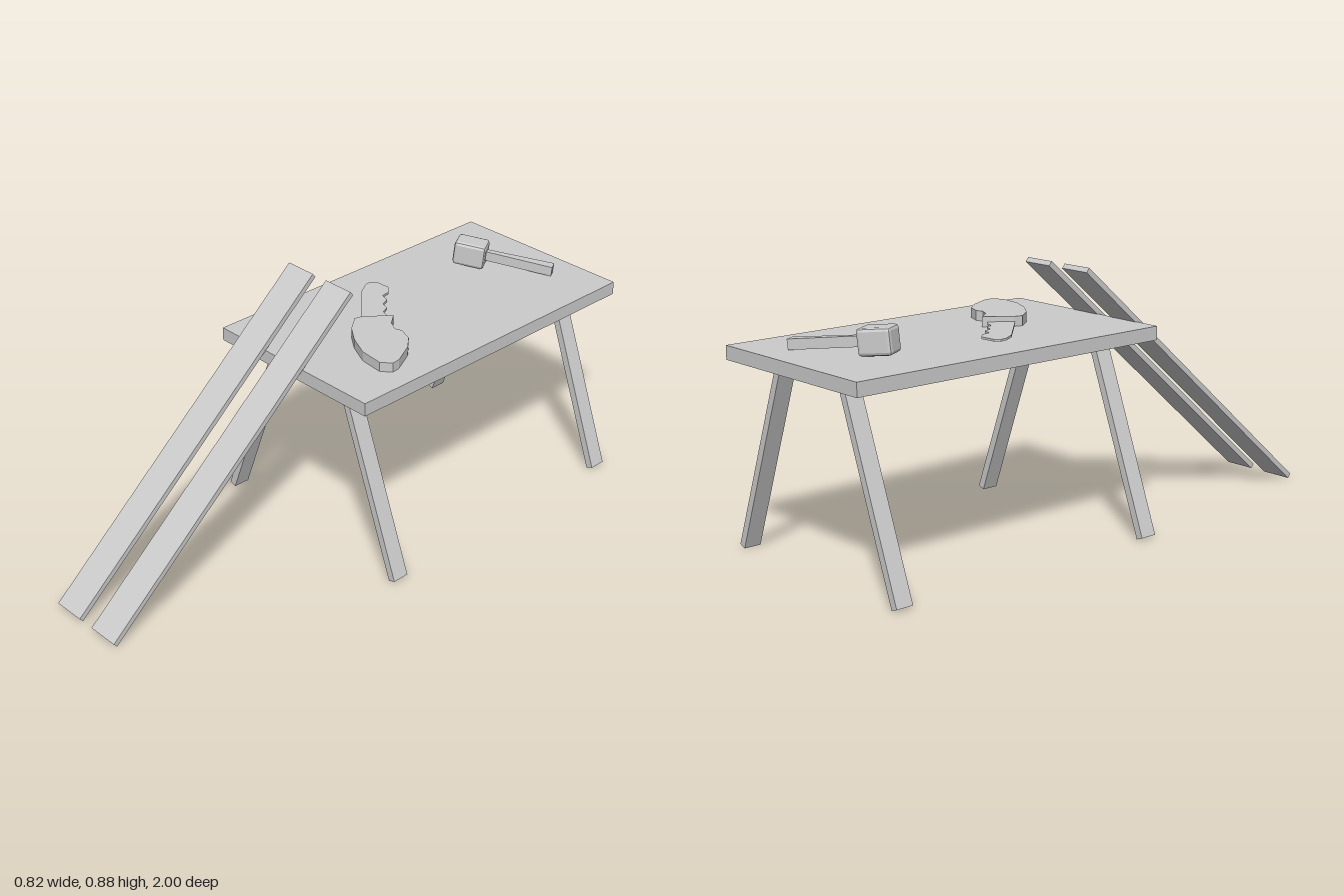
import * as THREE from 'three';
import { RoundedBoxGeometry } from 'three/addons/geometries/RoundedBoxGeometry.js';

const material = new THREE.MeshStandardMaterial({ color: 0xcccccc, flatShading: true });

function part(name, geometry, parent) {
  const mesh = new THREE.Mesh(geometry, material);
  mesh.name = name;
  parent.add(mesh);
  return mesh;
}

// Flat slab lying on the table, outlined by [x, z] points
function slab(points, height) {
  const shape = new THREE.Shape(points.map(([x, z]) => new THREE.Vector2(x, -z)));
  return new THREE.ExtrudeGeometry(shape, { depth: height, bevelEnabled: false }).rotateX(-Math.PI / 2);
}

export function createModel() {
  const model = new THREE.Group();
  model.name = 'workbench';

  // Table top
  part('tableTop', new THREE.BoxGeometry(0.676, 0.046, 1.2), model).position.set(0, 0.66, -0.4);

  // Splayed legs
  const legTilt = Math.atan2(0.238, 0.631);
  for (const side of [-1, 1]) {
    for (const z of [0.1, -0.9]) {
      const leg = part('leg', new THREE.BoxGeometry(0.026, 0.685, 0.06), model);
      leg.position.set(side * 0.278, 0.325, z);
      leg.rotation.z = side * legTilt;
    }
  }

  // Planks leaning on the front edge
  for (const x of [-0.185, -0.008]) {
    const plank = part('plank', new THREE.BoxGeometry(0.115, 0.018, 1.336), model);
    plank.position.set(x, 0.4425, 0.4875);
    plank.rotation.x = Math.atan2(0.871, 1.013);
  }

  // Mallet, tipped down towards the end of its handle
  const mallet = new THREE.Group();
  mallet.name = 'mallet';
  mallet.position.set(-0.1, 0.731, -0.743);
  mallet.rotation.set(0, 0.52, -0.1, 'YZX');
  part('malletHead', new RoundedBoxGeometry(0.112, 0.086, 0.082, 1, 0.011), mallet);
  const handle = new THREE.BoxGeometry(0.25, 0.034, 0.036);
  const pos = handle.attributes.position;
  for (let i = 0; i < pos.count; i++) {
    // Narrower where it enters the head
    if (pos.getX(i) < 0) pos.setZ(i, pos.getZ(i) * 0.55);
  }
  handle.computeVertexNormals();
  part('malletHandle', handle, mallet).position.set(0.169, 0, 0);
  model.add(mallet);

  // Saw: thick grip and thin wavy-toothed blade
  const saw = new THREE.Group();
  saw.name = 'saw';
  part('sawGrip', slab([
    [0.03, -0.23], [0.065, -0.185], [0.1, -0.167], [0.125, -0.175], [0.175, -0.155],
    [0.215, -0.11], [0.255, -0.03], [0.258, 0.0], [0.225, 0.027], [0.14, 0.018],
    [0.06, -0.02], [0.0, -0.065], [-0.042, -0.12], [-0.035, -0.145],
  ], 0.033), saw).position.y = 0.683;
  part('sawBlade', slab([
    [-0.03, -0.14], [-0.19, -0.295], [-0.217, -0.34], [-0.22, -0.365], [-0.205, -0.38],
    [-0.15, -0.384], [-0.122, -0.358], [-0.118, -0.325], [-0.086, -0.315], [-0.074, -0.283],
    [-0.045, -0.273], [-0.033, -0.245], [0.0, -0.232], [0.04, -0.2],
  ], 0.007), saw).position.y = 0.692;
  model.add(saw);

  return model;
}
